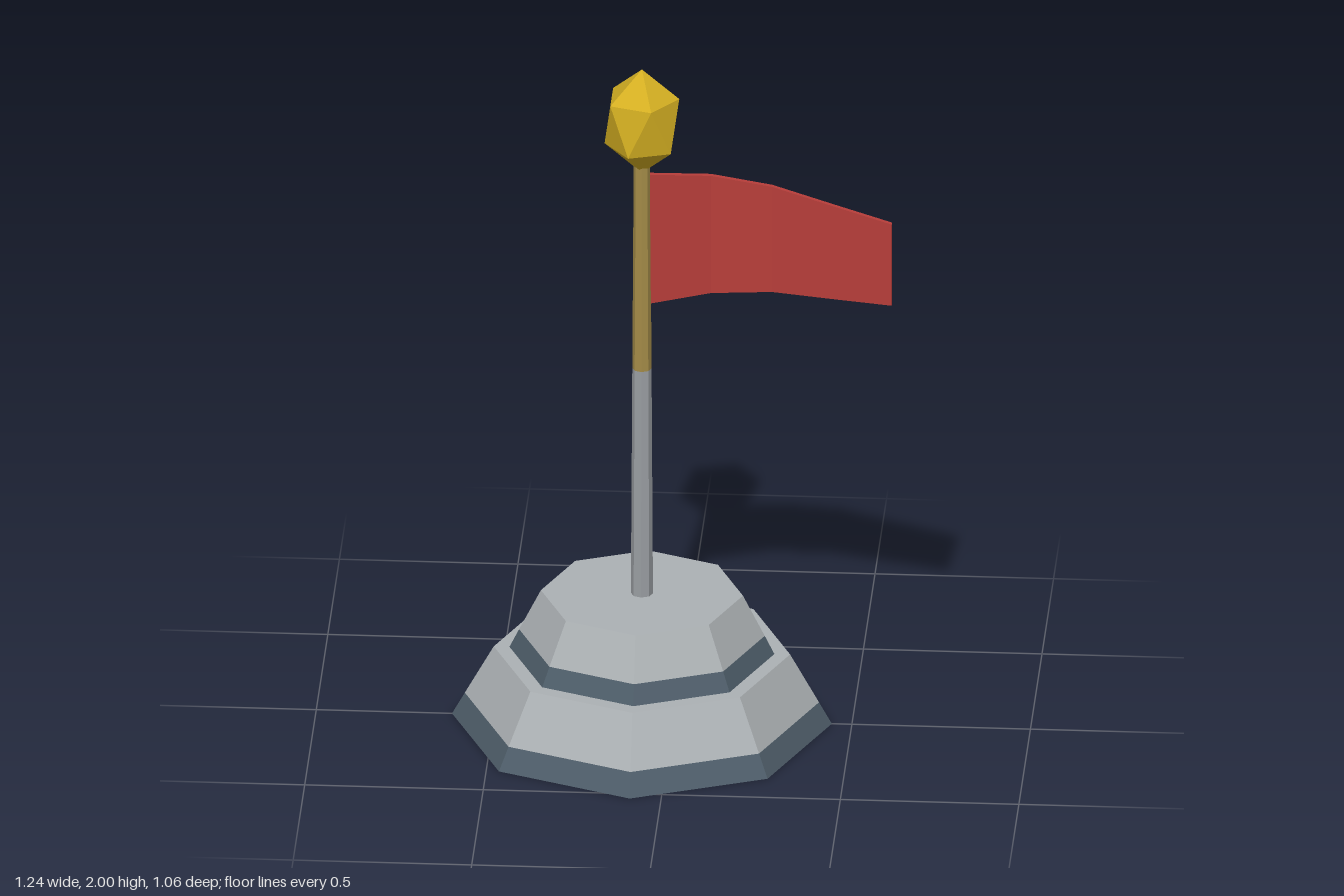
import * as THREE from 'three';

const flat = (name, color) => {
  const m = new THREE.MeshStandardMaterial({ color, flatShading: true });
  m.name = name;
  return m;
};

export function createModel() {
  const stone = flat('stone', 0xacb1b4);
  const slate = flat('slate', 0x4e5d69);
  const steel = flat('steel', 0x9a9ea2);
  const brass = flat('brass', 0xa48c48);
  const gold = flat('gold', 0xd4af22);
  const cloth = flat('red cloth', 0xb83e3a);

  const group = new THREE.Group();
  group.name = 'flagOnPedestal';
  const axisX = -0.088;

  const add = (name, geometry, material, x = 0, y = 0) => {
    const mesh = new THREE.Mesh(geometry, material);
    mesh.name = name;
    mesh.position.set(x, y, 0);
    group.add(mesh);
    return mesh;
  };

  // Tapered section standing on the pole axis, from y0 up to y1
  const section = (name, material, sides, y0, r0, y1, r1, open = false) =>
    add(name, new THREE.CylinderGeometry(r1, r0, y1 - y0, sides, 1, open), material, axisX, (y0 + y1) / 2);

  // Two octagonal tiers, each with a dark band at its foot
  section('lowerTierBand', slate, 8, 0, 0.532, 0.065, 0.496);
  section('lowerTier', stone, 8, 0.065, 0.496, 0.21, 0.415);
  section('upperTierBand', slate, 8, 0.21, 0.371, 0.265, 0.344);
  section('upperTier', stone, 8, 0.265, 0.344, 0.387, 0.283);

  // Pole in two colours
  section('lowerPole', steel, 8, 0.38, 0.031, 1.08, 0.027, true);
  section('upperPole', brass, 8, 1.08, 0.027, 1.72, 0.023, true);

  // Tall faceted finial, one corner pointing up
  const finialGeometry = new THREE.IcosahedronGeometry(0.117, 0);
  finialGeometry.rotateZ(-Math.atan(2 / (1 + Math.sqrt(5))));
  finialGeometry.scale(1, 1.36, 1);
  add('finial', finialGeometry, gold, axisX, 1.841);

  // Waving flag: a thin slab bent in z and narrowing toward its free end
  const wave = [-0.003, -0.062, -0.056, 0.004, 0.062];
  const flagGeometry = new THREE.BoxGeometry(1, 1, 0.014, 4, 1, 1);
  const p = flagGeometry.attributes.position;
  for (let i = 0; i < p.count; i++) {
    const t = p.getX(i) + 0.5;
    const top = THREE.MathUtils.lerp(1.678, 1.575, t);
    const bottom = THREE.MathUtils.lerp(1.28, 1.325, t);
    p.setXYZ(i,
      THREE.MathUtils.lerp(-0.07, 0.616, t),
      p.getY(i) > 0 ? top : bottom,
      p.getZ(i) + wave[Math.round(t * 4)]);
  }
  flagGeometry.computeVertexNormals();
  add('flag', flagGeometry, cloth);

  return group;
}
